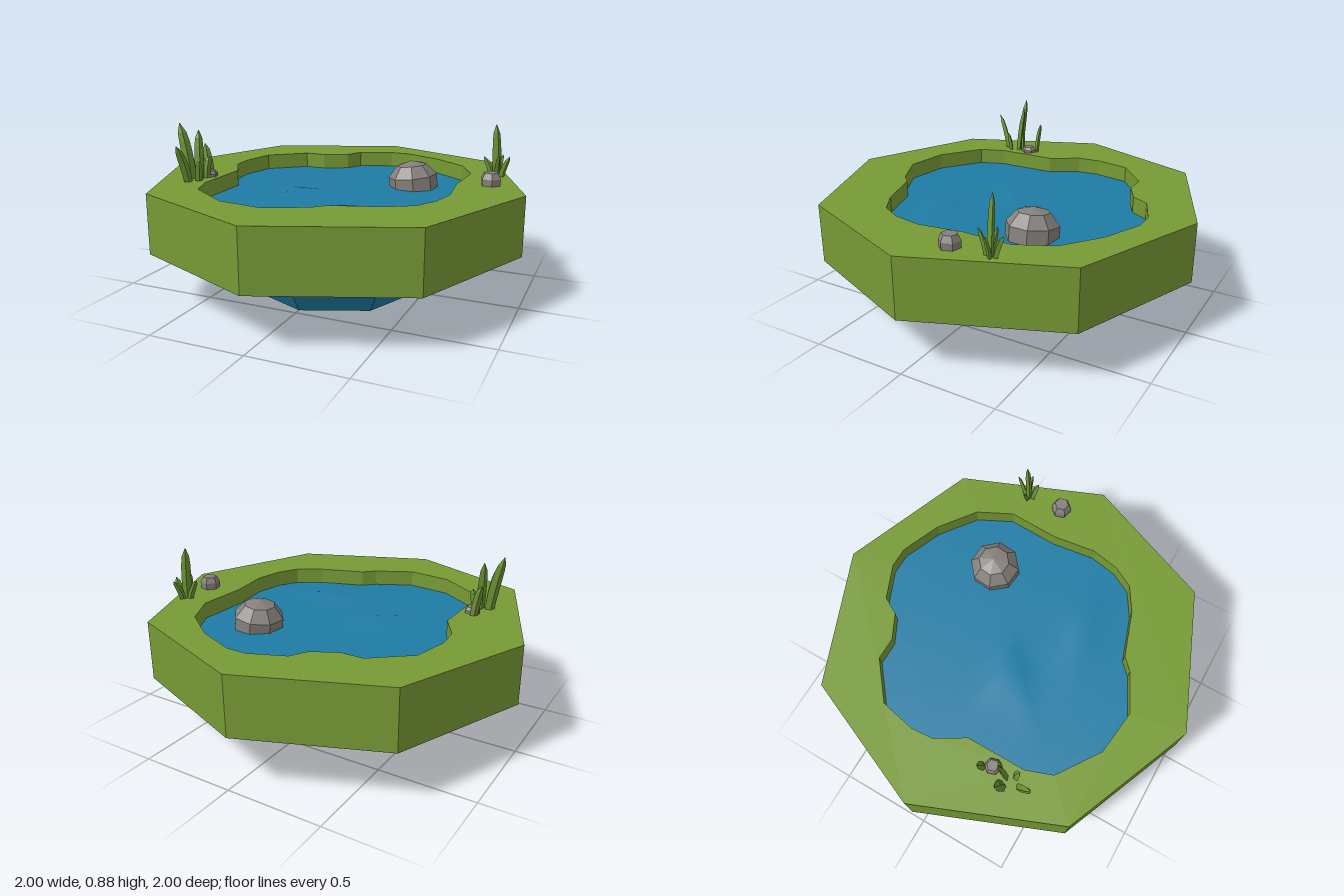
import * as THREE from 'three';

const colour = (name, hex, side = THREE.FrontSide) => {
  const m = new THREE.MeshStandardMaterial({ color: hex, side });
  m.name = name;
  return m;
};

// outlines as [x, z] pairs
const RIM = [[-0.01, -1], [0.7, -0.73], [1, 0.01], [0.71, 0.71], [-0.01, 1], [-0.7, 0.71], [-1, -0.03], [-0.71, -0.72]];
const POND = [
  [0.04, -0.775], [0.15, -0.775], [0.36, -0.69], [0.55, -0.55], [0.64, -0.37], [0.63, -0.1],
  [0.66, 0.13], [0.63, 0.28], [0.57, 0.39], [0.44, 0.47], [0.2, 0.55], [0.14, 0.61],
  [-0.06, 0.71], [-0.3, 0.68], [-0.52, 0.53], [-0.57, 0.39], [-0.57, 0.07], [-0.66, -0.08],
  [-0.67, -0.2], [-0.63, -0.39], [-0.44, -0.545], [-0.32, -0.545], [-0.19, -0.61], [-0.14, -0.7],
];
const toPoints = (list) => list.map(([x, z]) => new THREE.Vector2(x, -z));

// upright prism between two heights; the hole runs the opposite way round
function prism(outline, y0, y1, hole) {
  const shape = new THREE.Shape(toPoints(outline));
  if (hole) shape.holes.push(new THREE.Path(toPoints(hole).reverse()));
  const g = new THREE.ExtrudeGeometry(shape, { depth: y1 - y0, bevelEnabled: false });
  return g.rotateX(-Math.PI / 2).translate(0, y0, 0);
}

const faceted = (geometry) => {
  const g = geometry.index ? geometry.toNonIndexed() : geometry;
  g.computeVertexNormals();
  return g;
};

// rippled surface: rings shrinking from the shore to the centre
function waterSurface(y) {
  const rings = 14, n = POND.length, pos = [], idx = [];
  const ridge = (x, z, cx, cz, a, len, wid) => {
    const u = (x - cx) * Math.cos(a) + (z - cz) * Math.sin(a);
    const v = (z - cz) * Math.cos(a) - (x - cx) * Math.sin(a);
    return Math.exp(-((u / len) ** 2) - (v / wid) ** 2);
  };
  for (let r = 0; r <= rings; r++) {
    const s = 1.01 * (1 - r / rings);
    for (const [px, pz] of POND) {
      const x = px * s, z = pz * s;
      const wave = 0.022 * ridge(x, z, -0.22, 0.1, -0.5, 0.2, 0.08) + 0.018 * ridge(x, z, 0.28, 0.28, -0.1, 0.22, 0.07);
      pos.push(x, y + wave, z);
    }
  }
  for (let r = 0; r < rings; r++) for (let i = 0; i < n; i++) {
    const a = r * n + i, b = r * n + (i + 1) % n;
    idx.push(a, a + n, b);
    if (r < rings - 1) idx.push(b, a + n, b + n);
  }
  const g = new THREE.BufferGeometry();
  g.setAttribute('position', new THREE.Float32BufferAttribute(pos, 3));
  g.setIndex(idx);
  g.computeVertexNormals();
  return g;
}

// tapered eight-sided basin with one flattened lower corner
function basinGeometry() {
  const g = new THREE.CylinderGeometry(0.65, 0.465, 0.276, 8);
  const p = g.attributes.position;
  for (let i = 0; i < p.count; i++) {
    if (p.getY(i) < 0 && p.getX(i) < -0.2 && p.getZ(i) < -0.2) {
      p.setX(i, p.getX(i) * 0.84);
      p.setZ(i, p.getZ(i) * 0.84);
    }
  }
  return faceted(g.translate(0, 0.138, 0));
}

// curved, flattened blade with a diamond cross-section
function blade([x, z], [tx, ty, tz], width, turn) {
  const y = 0.575, levels = 6, pos = [], idx = [];
  const path = new THREE.QuadraticBezierCurve3(
    new THREE.Vector3(x, y, z),
    new THREE.Vector3(x + (tx - x) * 0.3, y + (ty - y) * 0.55, z + (tz - z) * 0.3),
    new THREE.Vector3(tx, ty, tz));
  for (let l = 0; l <= levels; l++) {
    const t = l / levels, p = path.getPoint(t);
    const w = width * 0.5 * (0.8 + 0.5 * t) * Math.sqrt(1 - t * t) + 0.002;
    for (let k = 0; k < 4; k++) {
      const a = k * Math.PI / 2, u = Math.cos(a) * w, v = Math.sin(a) * w * 0.6;
      pos.push(p.x + u * Math.cos(turn) + v * Math.sin(turn), p.y, p.z - u * Math.sin(turn) + v * Math.cos(turn));
    }
  }
  for (let l = 0; l < levels; l++) for (let k = 0; k < 4; k++) {
    const a = l * 4 + k, b = l * 4 + (k + 1) % 4;
    idx.push(a, b, a + 4, b, b + 4, a + 4);
  }
  const g = new THREE.BufferGeometry();
  g.setAttribute('position', new THREE.Float32BufferAttribute(pos, 3));
  g.setIndex(idx);
  // orient the faces outwards
  for (let i = 0; i < idx.length; i += 3) [idx[i + 1], idx[i + 2]] = [idx[i + 2], idx[i + 1]];
  g.setIndex(idx);
  return faceted(g);
}

export function createModel() {
  const model = new THREE.Group();
  const grass = colour('grass green', 0x779a35);
  const water = colour('water blue', 0x1f7ca5);
  const stone = colour('stone grey', 0x85807b);
  const reed = colour('reed green', 0x6c9434, THREE.DoubleSide);
  const add = (name, geometry, material, parent = model) => {
    const m = new THREE.Mesh(geometry, material);
    m.name = name;
    parent.add(m);
  };

  // grassy bank, blue underside and tapered basin
  add('bank', prism(RIM, 0.277, 0.585, POND), grass);
  add('underside', prism(RIM, 0.275, 0.277), water);
  add('basin', basinGeometry(), water);
  add('waterSurface', waterSurface(0.5), water);

  // faceted boulder in the water
  const boulder = new THREE.SphereGeometry(1, 8, 5);
  boulder.rotateY(0.3).scale(0.14, 0.122, 0.14).rotateZ(0.12).translate(0.333, 0.523, -0.305);
  add('boulder', faceted(boulder), stone);

  // pebbles on the bank with bevelled tops
  for (const [x, z, r, h] of [[0.795, -0.15, 0.054, 0.075], [-0.633, 0.25, 0.043, 0.042]]) {
    const profile = [[0.95, 0], [1, 0.6], [0.7, 1], [0, 1]].map(([a, b]) => new THREE.Vector2(a * r, b * h));
    add('pebble', faceted(new THREE.LatheGeometry(profile, 6)).rotateY(0.3).translate(x, 0.575, z), stone);
  }

  // reed clumps: base, tip, width, turn
  const clumps = {
    leftBankReeds: [
      [[0.785, -0.35], [0.768, 0.865, -0.355], 0.052, 0.7],
      [[0.765, -0.35], [0.715, 0.69, -0.345], 0.034, 0.5],
      [[0.805, -0.36], [0.845, 0.695, -0.36], 0.034, 0.6],
      [[0.79, -0.375], [0.8, 0.695, -0.425], 0.036, 1.2],
      [[0.785, -0.33], [0.8, 0.71, -0.3], 0.036, 1.0],
    ],
    rightBankReeds: [
      [[-0.69, 0.34], [-0.752, 0.875, 0.335], 0.06, 0.7],
      [[-0.66, 0.41], [-0.675, 0.78, 0.48], 0.05, 1.0],
      [[-0.645, 0.33], [-0.66, 0.84, 0.3], 0.05, 0.8],
      [[-0.655, 0.21], [-0.69, 0.75, 0.2], 0.044, 0.5],
      [[-0.625, 0.37], [-0.61, 0.69, 0.385], 0.04, 0.9],
      [[-0.63, 0.29], [-0.615, 0.7, 0.28], 0.038, 0.6],
    ],
  };
  for (const [name, list] of Object.entries(clumps)) {
    const group = new THREE.Group();
    group.name = name;
    for (const [base, tip, width, turn] of list) add('reedBlade', blade(base, tip, width, turn), reed, group);
    model.add(group);
  }
  return model;
}
